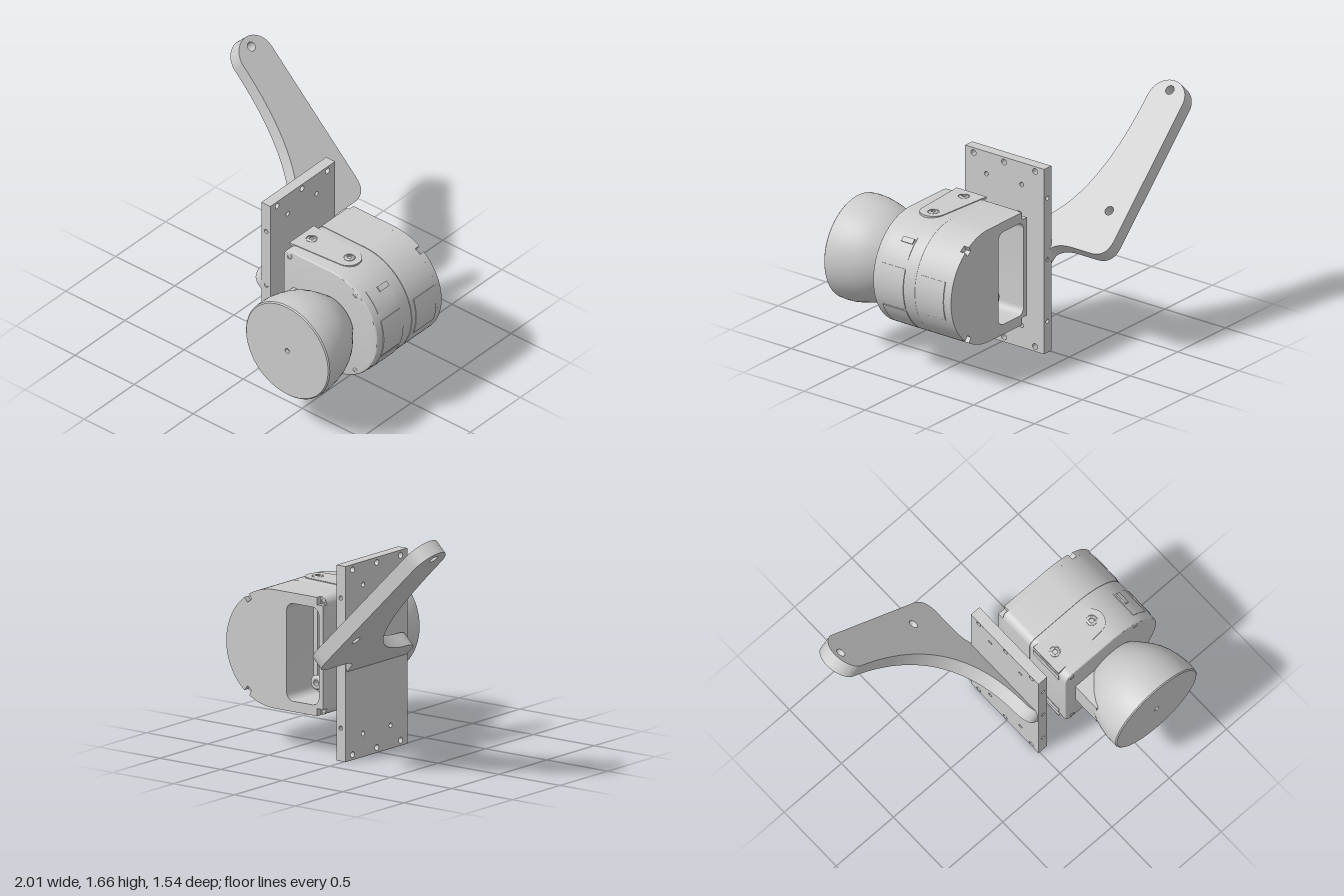
import * as THREE from 'three';
import { toCreasedNormals } from 'three/addons/utils/BufferGeometryUtils.js';

const CX = 0.6, CY = 0.655, R = 0.395; // axis and radius of the housing
const LEFT = 0.2, TOP = CY + R, BOTTOM = CY - R;
const mat = new THREE.MeshStandardMaterial({ color: 0xcccccc });

function add(parent, name, geo, x = 0, y = 0, z = 0) {
  const mesh = new THREE.Mesh(geo, mat);
  mesh.name = name;
  mesh.position.set(x, y, z);
  parent.add(mesh);
  return mesh;
}

function extrude(shape, depth, bevel = 0) {
  const geo = new THREE.ExtrudeGeometry(shape, {
    depth: depth - 2 * bevel, curveSegments: 28, bevelEnabled: bevel > 0,
    bevelSize: bevel, bevelThickness: bevel, bevelOffset: -bevel, bevelSegments: 3,
  });
  geo.translate(0, 0, bevel);
  return toCreasedNormals(geo, 0.5);
}

function circleHole(shape, x, y, r) {
  shape.holes.push(new THREE.Path().absarc(x, y, r, 0, Math.PI * 2, true));
}

function roundRect(path, x0, y0, x1, y1, r) {
  path.moveTo(x0 + r, y0);
  path.lineTo(x1 - r, y0).absarc(x1 - r, y0 + r, r, -Math.PI / 2, 0);
  path.lineTo(x1, y1 - r).absarc(x1 - r, y1 - r, r, 0, Math.PI / 2);
  path.lineTo(x0 + r, y1).absarc(x0 + r, y1 - r, r, Math.PI / 2, Math.PI);
  path.lineTo(x0, y0 + r).absarc(x0 + r, y0 + r, r, Math.PI, Math.PI * 1.5);
  return path;
}

function lathe(points, segments) {
  const geo = new THREE.LatheGeometry(points.map(([r, h]) => new THREE.Vector2(r, h)), segments);
  return toCreasedNormals(geo, 0.5);
}

// Socket screw along +y, sunk in the middle
const screwGeo = (r, h) => lathe([[r, -h], [r, 0], [r * 0.75, h * 0.3], [r * 0.5, h * 0.3], [r * 0.5, -h * 0.6], [0, -h * 0.6]], 20);

// D-shaped housing outline: half round on +x, flat on -x
function housingOutline(notched) {
  const s = new THREE.Shape(), r = 0.06, n = 0.05;
  s.moveTo(LEFT + r, BOTTOM);
  s.lineTo(CX, BOTTOM);
  if (notched) {
    const a = 0.96, w = 0.06;
    s.absarc(CX, CY, R, -Math.PI / 2, -a - w);
    s.absarc(CX, CY, R - 0.04, -a - w, -a + w);
    s.absarc(CX, CY, R, -a + w, a - w);
    s.absarc(CX, CY, R - 0.04, a - w, a + w);
    s.absarc(CX, CY, R, a + w, Math.PI / 2);
    s.lineTo(LEFT + n, TOP).lineTo(LEFT + n, TOP - n).lineTo(LEFT, TOP - n);
    s.lineTo(LEFT, BOTTOM + n).lineTo(LEFT + n, BOTTOM + n).lineTo(LEFT + n, BOTTOM);
  } else {
    s.absarc(CX, CY, R, -Math.PI / 2, Math.PI / 2);
    s.lineTo(LEFT + r, TOP).absarc(LEFT + r, TOP - r, r, Math.PI / 2, Math.PI);
    s.lineTo(LEFT, BOTTOM + r).absarc(LEFT + r, BOTTOM + r, r, Math.PI, Math.PI * 1.5);
  }
  return s;
}

// Thin raised panel that follows the round side
function sidePanel(parent, name, y0, y1, z0, z1, lift = 0.005) {
  const a0 = Math.asin((y0 - CY) / R), a1 = Math.asin((y1 - CY) / R), s = new THREE.Shape();
  s.absarc(CX, CY, R + lift, a0, a1);
  s.absarc(CX, CY, R - 0.01, a1, a0, true);
  add(parent, name, extrude(s, z1 - z0), 0, 0, z0);
}

function buildPlate() {
  const g = new THREE.Group();
  g.name = 'mountingPlate';
  const x0 = -0.01, thick = 0.075, height = 1.3, zBack = -0.345, zFront = 0.305, strip = 0.045;
  const slab = new THREE.Shape();
  const a = -(zFront - strip), b = -(zBack + strip);
  slab.moveTo(a, 0).lineTo(b, 0).lineTo(b, height).lineTo(a, height);
  for (const y of [0.035, 1.265]) for (const z of [0.235, -0.015, -0.27]) circleHole(slab, -z, y, 0.02);
  for (const y of [0.155, 1.145]) for (const z of [0.13, -0.16]) circleHole(slab, -z, y, 0.016);
  add(g, 'plateSlab', extrude(slab, thick).rotateY(Math.PI / 2), x0);
  // Edge strips carry the drilled holes of the narrow sides
  const edge = new THREE.Shape();
  edge.moveTo(0, 0).lineTo(thick, 0).lineTo(thick, height).lineTo(0, height);
  for (const y of [0.22, 0.655, 1.085]) circleHole(edge, 0.04, y, 0.015);
  for (const z of [zBack, zFront - strip]) add(g, 'plateEdge', extrude(edge, strip), x0, 0, z);
  return g;
}

// Curved flat arm rising at 45 degrees from the plate
function buildArm() {
  const U = (x) => (0.365 - x) * Math.SQRT2; // distance up the slope
  const s = new THREE.Shape(), tip = U(-0.935) - 0.1425, zc = -0.6325;
  s.moveTo(tip, -0.49);
  s.bezierCurveTo(U(-0.3), -0.49, U(-0.04), -0.25, U(-0.03), 0.2);
  s.quadraticCurveTo(U(-0.02), 0.3, U(0.03), 0.3);
  s.lineTo(U(0.06), 0.3).lineTo(U(0.06), -0.335).lineTo(U(0.01), -0.345);
  s.quadraticCurveTo(U(-0.03), -0.38, U(-0.03), -0.5);
  s.lineTo(U(-0.03), -0.65);
  s.quadraticCurveTo(U(-0.03), -0.775, U(-0.12), -0.775);
  s.lineTo(tip, -0.775);
  s.absarc(tip, zc, 0.1425, -Math.PI / 2, Math.PI / 2);
  for (const x of [-0.885, -0.25]) circleHole(s, U(x), zc, 0.031);
  const k = Math.SQRT1_2;
  const basis = new THREE.Matrix4().makeBasis(
    new THREE.Vector3(-k, k, 0), new THREE.Vector3(0, 0, 1), new THREE.Vector3(k, k, 0));
  return extrude(s, 0.102).translate(0, 0, 0.414).applyMatrix4(basis);
}

function buildHousing() {
  const g = new THREE.Group();
  g.name = 'housing';
  add(g, 'frontHousing', extrude(housingOutline(false), 0.35, 0.012), 0, 0, -0.015);
  // Rear shell with a tall open slot
  for (const [notched, z0, z1] of [[false, -0.27, -0.012], [true, -0.31, -0.27]]) {
    const s = housingOutline(notched);
    s.holes.push(roundRect(new THREE.Path(), 0.235, 0.33, 0.5, 0.98, 0.055));
    add(g, notched ? 'rearCap' : 'rearShell', extrude(s, z1 - z0), 0, 0, z0);
  }
  // Fittings inside the slot
  add(g, 'slotConnector', extrude(roundRect(new THREE.Shape(), 0.31, 0.56, 0.38, 0.86, 0.02), 0.1, 0.01), 0, 0, -0.11);
  add(g, 'slotRail', new THREE.BoxGeometry(0.03, 0.5, 0.06), 0.45, 0.66, -0.04);
  add(g, 'slotKnob', lathe([[0.05, 0], [0.05, 0.16], [0.035, 0.17], [0.02, 0.17], [0.02, 0.1], [0, 0.1]], 24)
    .rotateX(-Math.PI / 2), 0.36, 0.44, -0.01);
  // Corner screws on the front and back
  for (const side of [1, -1]) {
    add(g, 'frontScrew', screwGeo(0.025, 0.015).rotateX(Math.PI / 2), 0.25, CY + side * 0.355, 0.335);
    add(g, 'rearScrew', screwGeo(0.02, 0.012).rotateX(-Math.PI / 2), 0.23, CY + side * 0.368, -0.272);
    add(g, 'frontRimScrew', screwGeo(0.02, 0.012).rotateX(Math.PI / 2), 0.81, CY + side * 0.3, 0.335);
  }
  // Tapered mounting pads with two screws, top and bottom
  const pad = new THREE.Shape();
  pad.moveTo(LEFT - 0.003, 0.27).lineTo(LEFT - 0.003, 0.025).lineTo(0.6, 0.06);
  pad.bezierCurveTo(0.71, 0.07, 0.71, 0.23, 0.6, 0.24);
  for (const x of [0.28, 0.6]) circleHole(pad, x, 0.145, 0.038);
  for (const side of [1, -1]) {
    const y = CY + side * 0.392;
    add(g, 'mountingPad', extrude(pad, 0.016).rotateX(Math.PI / 2), 0, y + 0.008);
    add(g, 'padSide', new THREE.BoxGeometry(0.014, 0.07, 0.245), LEFT + 0.003, CY + side * 0.31, 0.1475);
    for (const x of [0.28, 0.6]) {
      const screw = add(g, 'padScrew', screwGeo(0.034, 0.02), x, CY + side * 0.399, 0.145);
      if (side < 0) screw.rotation.x = Math.PI;
    }
  }
  // Panels on the round side
  sidePanel(g, 'sidePanel', 0.515, 0.79, 0.08, 0.275);
  sidePanel(g, 'sidePanel', 0.52, 0.785, -0.25, -0.05);
  sidePanel(g, 'labelPanel', 0.345, 0.495, 0.08, 0.275);
  sidePanel(g, 'portPanel', 0.84, 0.965, 0.08, 0.275, 0.003);
  sidePanel(g, 'portLatch', 0.93, 0.955, 0.09, 0.18, 0.012);
  return g;
}

function buildHead() {
  const g = new THREE.Group();
  g.name = 'domeHead';
  const profile = [[0.165, 0.32], [0.2, 0.345], [0.245, 0.4], [0.282, 0.45], [0.31, 0.5], [0.33, 0.55], [0.345, 0.61],
    [0.355, 0.67], [0.357, 0.72], [0.354, 0.762], [0.346, 0.77], [0.018, 0.77], [0.018, 0.745], [0, 0.745]];
  add(g, 'dome', lathe(profile, 64).rotateX(Math.PI / 2), CX, CY);
  // Bracket between the dome and the housing
  add(g, 'neckBracket', new THREE.BoxGeometry(0.25, 0.24, 0.22), 0.41, CY, 0.43);
  return g;
}

export function createModel() {
  const model = new THREE.Group();
  model.name = 'mountedSensor';
  model.add(buildPlate(), buildHousing(), buildHead());
  add(model, 'supportArm', buildArm());
  return model;
}
